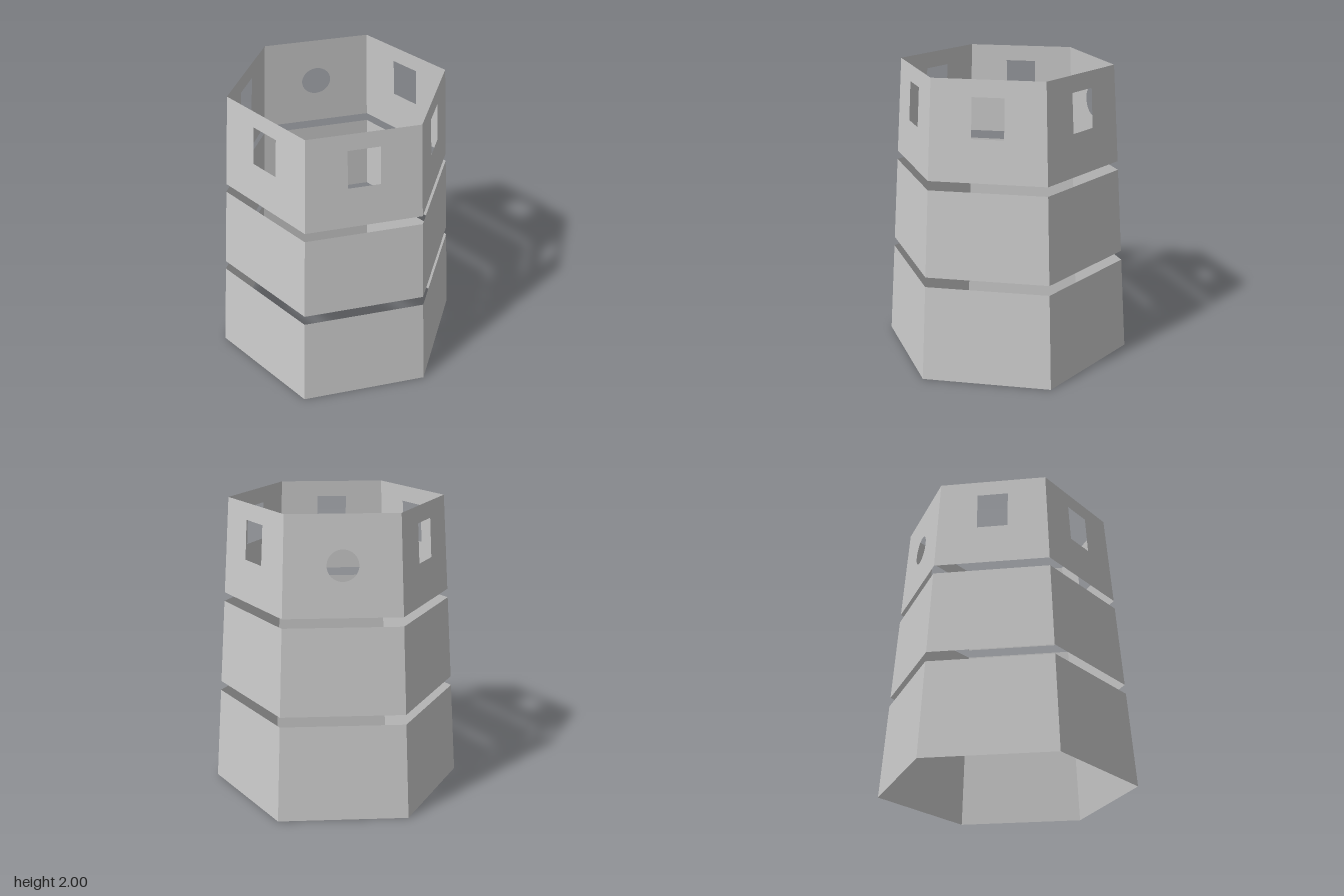
import * as THREE from 'three';

const SIDES = 6;
const BASE_APOTHEM = 0.741, TOP_APOTHEM = 0.619, HEIGHT = 2;
const apothem = y => BASE_APOTHEM + (TOP_APOTHEM - BASE_APOTHEM) * y / HEIGHT;
const halfSide = y => apothem(y) * Math.tan(Math.PI / SIDES);

function rectangleHole() {
  const w = 0.103, y0 = 1.63, y1 = 1.89;
  return new THREE.Path([[-w, y0], [-w, y1], [w, y1], [w, y0]].map(p => new THREE.Vector2(...p)));
}

function roundHole() {
  return new THREE.Path().absarc(0, 1.68, 0.101, 0, Math.PI * 2, true);
}

// One trapezoid wall, drawn upright and then leaned inward along the taper
function wallPanel(y0, y1, hole) {
  const a = halfSide(y0), b = halfSide(y1);
  const shape = new THREE.Shape([[-a, y0], [a, y0], [b, y1], [-b, y1]].map(p => new THREE.Vector2(...p)));
  if (hole) shape.holes.push(hole);
  const geometry = new THREE.ShapeGeometry(shape, 24);
  const pos = geometry.attributes.position;
  for (let i = 0; i < pos.count; i++) pos.setZ(i, apothem(pos.getY(i)));
  geometry.computeVertexNormals();
  return geometry;
}

export function createModel() {
  const model = new THREE.Group();
  model.name = 'hexagonalTower';
  const material = new THREE.MeshStandardMaterial({
    color: 0xcccccc, flatShading: true, side: THREE.DoubleSide
  });

  // Three separate rings of thin walls with open gaps between them
  const tiers = [
    { name: 'lowerTier', y0: 0, y1: 0.645 },
    { name: 'middleTier', y0: 0.71, y1: 1.29 },
    { name: 'windowTier', y0: 1.35, y1: 2, windows: true }
  ];
  for (const { name, y0, y1, windows } of tiers) {
    const tier = new THREE.Group();
    tier.name = name;
    for (let i = 0; i < SIDES; i++) {
      // The back left wall has the only round window
      const hole = windows ? (i === 2 ? roundHole() : rectangleHole()) : null;
      const wall = new THREE.Mesh(wallPanel(y0, y1, hole), material);
      wall.name = windows ? (i === 2 ? 'roundWindowWall' : 'windowWall') : 'wall';
      wall.rotation.y = Math.PI / 6 + i * Math.PI / 3;
      tier.add(wall);
    }
    model.add(tier);
  }
  return model;
}
